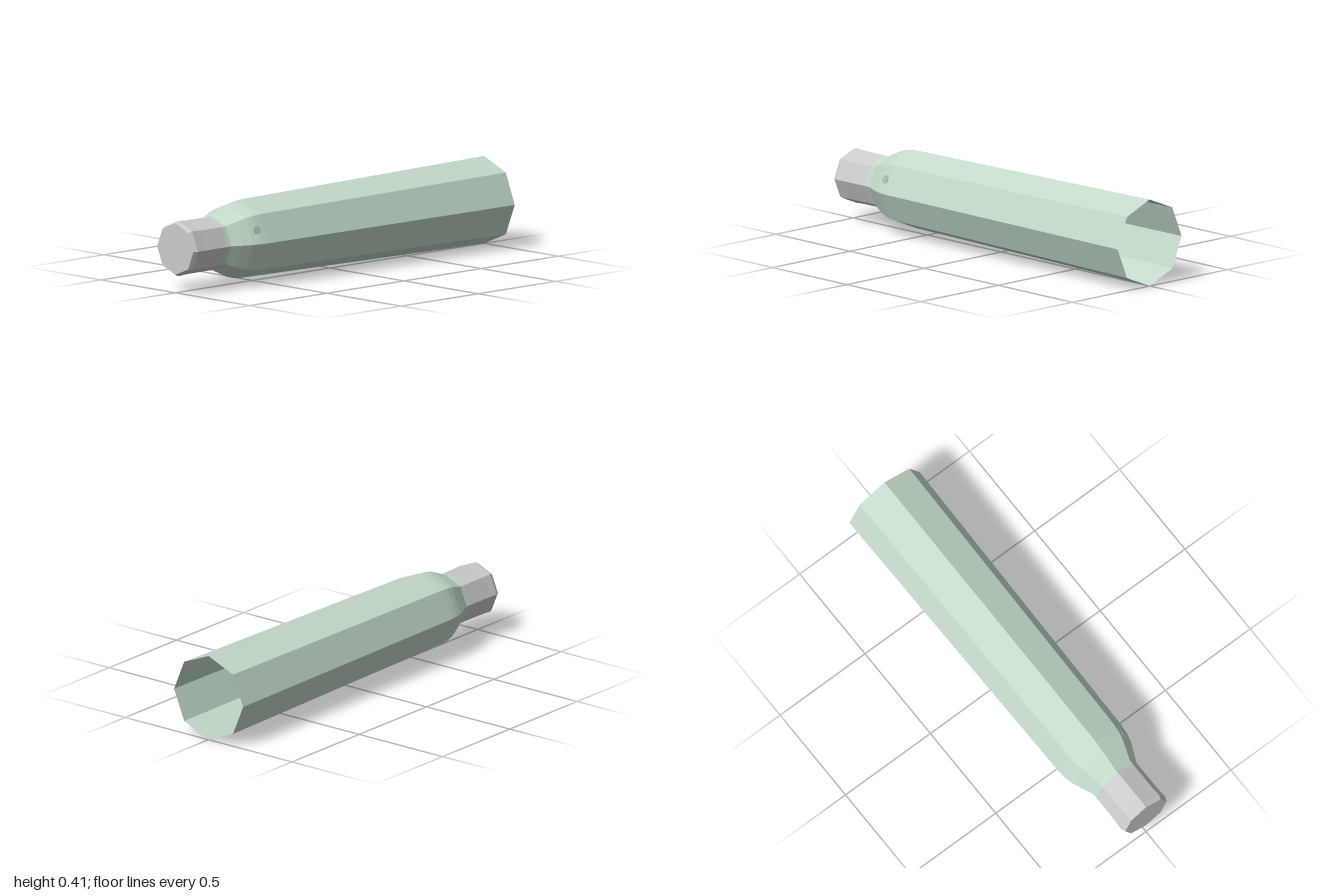
import * as THREE from 'three';

const CENTRE_Y = 0.207;

// Eight-sided open shell around the x axis from [x, radius] pairs
function octagonShell(name, profile, color) {
  const points = profile.map(([x, r]) => new THREE.Vector2(r, x));
  const geometry = new THREE.LatheGeometry(points, 8);
  geometry.rotateZ(-Math.PI / 2);
  const mesh = new THREE.Mesh(geometry, new THREE.MeshStandardMaterial({
    color, flatShading: true, side: THREE.DoubleSide,
  }));
  mesh.name = name;
  mesh.position.y = CENTRE_Y;
  return mesh;
}

export function createModel() {
  const model = new THREE.Group();
  model.name = 'taperedTube';

  // Closed grey neck with a bevelled, slightly flared lip
  model.add(octagonShell('neck', [
    [-1, 0], [-1, 0.122], [-0.98, 0.131], [-0.93, 0.128], [-0.785, 0.127],
  ], 0xcccccc));

  // Rounded shoulder running into a long body that widens to the open end
  model.add(octagonShell('body', [
    [-0.785, 0.127], [-0.76, 0.128], [-0.71, 0.151], [-0.66, 0.172],
    [-0.62, 0.182], [-0.58, 0.186], [1, 0.207],
  ], 0xc3dac9));

  // Small round stud set into the upper front facet of the shoulder
  const angle = Math.PI / 8;
  const apothem = 0.182 * Math.cos(angle);
  const stud = new THREE.Mesh(
    new THREE.CylinderGeometry(0.02, 0.02, 0.004, 12),
    new THREE.MeshStandardMaterial({ color: 0xa9bcaf, flatShading: true }),
  );
  stud.name = 'stud';
  const normal = new THREE.Vector3(-0.12, Math.sin(angle), Math.cos(angle)).normalize();
  stud.quaternion.setFromUnitVectors(new THREE.Vector3(0, 1, 0), normal);
  stud.position.set(-0.62, CENTRE_Y + apothem * Math.sin(angle), apothem * Math.cos(angle));
  model.add(stud);

  return model;
}
